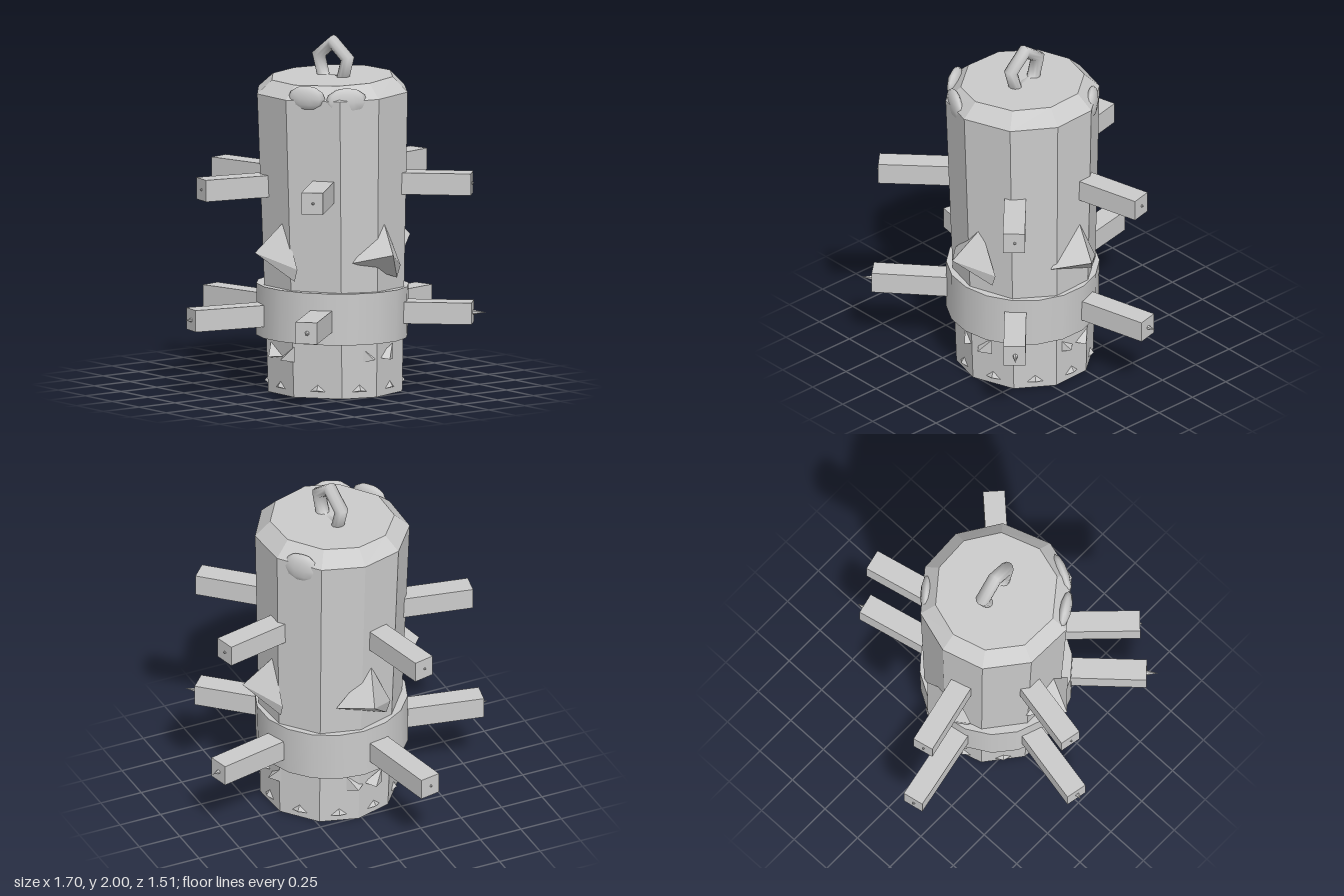
import * as THREE from 'three';

const flat = new THREE.MeshStandardMaterial({ color: 0xcccccc, flatShading: true, side: THREE.DoubleSide });
const smooth = new THREE.MeshStandardMaterial({ color: 0xcccccc });
const CZ = 0.127; // trunk axis offset in z
// Trunk corners, degrees from the front turning to the left (+x)
const CORNERS = [0, 39, 75, 110, 147, 180, 213, 250, 287, 329];
const rad = THREE.MathUtils.degToRad;

function mesh(name, geometry, material, parent) {
  const m = new THREE.Mesh(geometry, material);
  m.name = name;
  parent.add(m);
  return m;
}

// Closed solid from rings [radius, y, centre x, tilt]
function loft(rings) {
  const pos = [], idx = [], n = CORNERS.length;
  for (const [r, y, cx, tilt] of rings) {
    for (const a of CORNERS) {
      const x = cx + r * Math.sin(rad(a));
      pos.push(x, y + tilt * x, CZ + r * Math.cos(rad(a)));
    }
  }
  for (let k = 0; k < rings.length - 1; k++) {
    for (let i = 0; i < n; i++) {
      const a = k * n + i, b = k * n + (i + 1) % n;
      idx.push(a, b, b + n, a, b + n, a + n);
    }
  }
  const top = (rings.length - 1) * n;
  for (let i = 1; i < n - 1; i++) idx.push(0, i + 1, i, top, top + i, top + i + 1);
  const g = new THREE.BufferGeometry();
  g.setAttribute('position', new THREE.Float32BufferAttribute(pos, 3));
  g.setIndex(idx);
  g.computeVertexNormals();
  return g;
}

// Pyramid pointing along +z over a base outline, counter-clockwise from the front
function shard(outline, apex, baseZ) {
  const pos = [];
  outline.forEach(([x, y], i) => {
    const [x2, y2] = outline[(i + 1) % outline.length];
    pos.push(x, y, baseZ, x2, y2, baseZ, ...apex);
  });
  const g = new THREE.BufferGeometry();
  g.setAttribute('position', new THREE.Float32BufferAttribute(pos, 3));
  g.computeVertexNormals();
  return g;
}

export function createModel() {
  const model = new THREE.Group();
  model.name = 'spikedTrainingPost';

  // Tapered trunk with a bevelled, slightly tilted top
  mesh('trunk', loft([
    [0.388, 0, 0.02, 0],
    [0.436, 1.69, 0, 0.01],
    [0.35, 1.77, 0, 0.03],
  ]), flat, model);

  // Smooth band round the lower trunk
  const band = mesh('band', new THREE.CylinderGeometry(0.428, 0.426, 0.29, 18), smooth, model);
  band.position.set(0.002, 0.452, CZ);
  band.rotation.z = -0.02;

  // Five-sided hanging loop
  const loop = mesh('hangingLoop', new THREE.TorusGeometry(0.12, 0.04, 10, 5), smooth, model);
  loop.geometry.rotateZ(Math.PI / 2);
  loop.position.set(0.012, 1.838, 0.123);
  loop.rotation.y = Math.PI / 2 + 0.13;

  // Square pegs: start x, z, end x, z, height, nail length
  const pegs = [
    [-0.2, 0.035, -0.76, -0.075, 1.172, 0.01],
    [-0.2, 0.035, -0.82, -0.09, 0.44, 0.035],
    [0.2, 0.05, 0.762, -0.08, 1.205, 0.012],
    [0.2, 0.05, 0.805, -0.09, 0.43, 0.045],
    [-0.15, 0.29, -0.565, 0.695, 1.172, 0.012],
    [-0.15, 0.29, -0.61, 0.7, 0.445, 0.065],
    [0.15, 0.31, 0.555, 0.69, 1.18, 0.012],
    [0.15, 0.31, 0.56, 0.69, 0.45, 0.075],
    [-0.05, -0.05, -0.19, -0.67, 1.172, 0.01],
    [-0.05, -0.05, -0.19, -0.75, 0.44, 0.012],
  ];
  for (const [x0, z0, x1, z1, y, nailLength] of pegs) {
    const length = Math.hypot(x1 - x0, z1 - z0);
    const peg = new THREE.Group();
    peg.name = 'peg';
    peg.position.set(x0, y, z0);
    peg.rotation.y = Math.atan2(x1 - x0, z1 - z0);
    mesh('pegBar', new THREE.BoxGeometry(0.122, 0.122, length).translate(0, 0, length / 2), flat, peg);
    const nail = new THREE.ConeGeometry(0.016, nailLength + 0.01, 6).rotateX(Math.PI / 2);
    mesh('nail', nail, flat, peg).position.set(0.005, 0, length + nailLength / 2 - 0.005);
    model.add(peg);
  }

  // Four sets of shards and splinters, one on each side
  for (let i = 0; i < 4; i++) {
    const side = new THREE.Group();
    side.name = 'sideShards';
    side.position.set(0.01, 0, 0.12);
    side.rotation.y = i * Math.PI / 2;
    mesh('largeShard', shard(
      [[-0.15, 0.77], [0.16, 0.66], [0.185, 0.73], [0.065, 0.99]],
      [0.01, 0.82, 0.55], 0.385), flat, side);
    mesh('splinter', shard(
      [[-0.08, 0.2], [0.03, 0.22], [-0.08, 0.29]], [-0.03, 0.215, 0.425], 0.37), flat, side);
    mesh('splinter', shard(
      [[0.03, 0.22], [0.14, 0.2], [0.14, 0.29]], [0.08, 0.21, 0.425], 0.37), flat, side);
    model.add(side);
  }

  // Low studs near the foot, one per trunk face
  CORNERS.forEach((a, i) => {
    const b = CORNERS[i + 1] ?? 360;
    const face = Math.cos(rad((b - a) / 2)) * 0.389;
    const stud = mesh('footStud', shard(
      [[-0.055, 0.035], [0.055, 0.035], [0, 0.085]], [0, 0.045, face + 0.022], face - 0.005), flat, model);
    stud.position.set(0.02, 0, CZ);
    stud.rotation.y = rad((a + b) / 2);
  });

  // Smooth worn patches on the rim
  for (const [a, y, w, h] of [[335, 1.68, 0.12, 0.08], [302, 1.7, 0.11, 0.07], [129, 1.66, 0.11, 0.09]]) {
    const patch = mesh('rimPatch', new THREE.SphereGeometry(1, 10, 6), smooth, model);
    patch.scale.set(w, h, 0.035);
    patch.position.set(0.392 * Math.sin(rad(a)), y, CZ + 0.392 * Math.cos(rad(a)));
    patch.rotation.y = rad(a);
  }
  return model;
}
